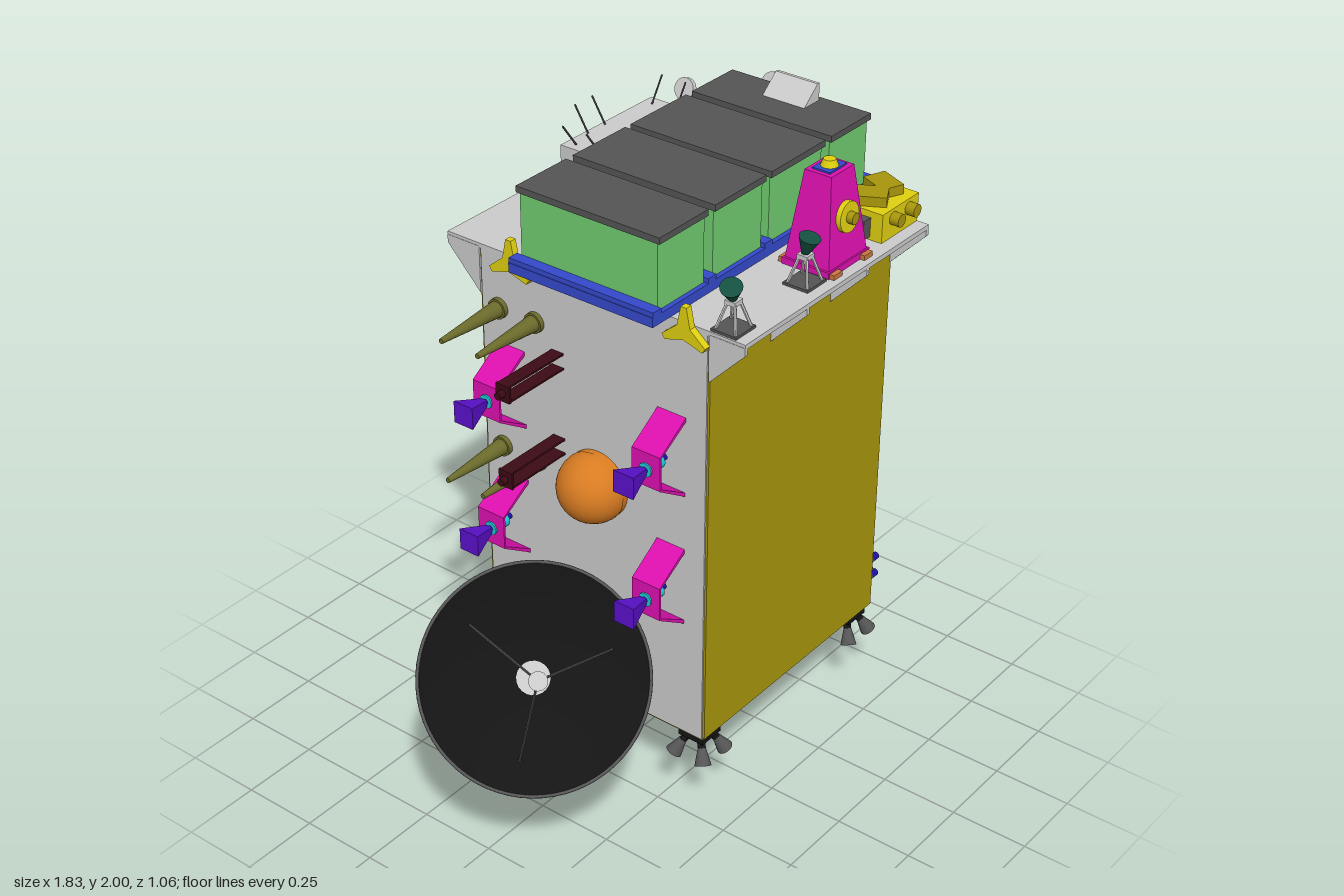
import * as THREE from 'three';

const V = (x, y, z) => new THREE.Vector3(x, y, z);
const mats = {};
const mat = (c) => (mats[c] ??= new THREE.MeshStandardMaterial({ color: c, side: THREE.DoubleSide }));
const GREY = 0xcccccc, GOLD = 0xa8960c, BLUE = 0x3449cc, GREEN = 0x70cc70, CHAR = 0x555555, BLACK = 0x141414,
  YELLOW = 0xe0d010, PINK = 0xdd10b0, OLIVE = 0x6b6b2c, MAROON = 0x3c0a14, ORANGE = 0xd97c22, COPPER = 0xcc7840,
  PURPLE = 0x5a10cc, VIOLET = 0x4f2f7c, CYAN = 0x20c8d8, TEAL = 0x145040, NAVY = 0x1c10a0;

export function createModel() {
  const root = new THREE.Group();
  const add = (name, geo, color, p = [0, 0, 0], parent = root) => {
    const m = new THREE.Mesh(geo, mat(color));
    m.name = name;
    m.position.set(...p);
    parent.add(m);
    return m;
  };
  // box given by its limits on each axis
  const box = (name, color, x0, x1, y0, y1, z0, z1, parent) =>
    add(name, new THREE.BoxGeometry(x1 - x0, y1 - y0, z1 - z0), color, [(x0 + x1) / 2, (y0 + y1) / 2, (z0 + z1) / 2], parent);
  // round or faceted rod from a to b, with a radius at each end
  const rod = (name, color, a, b, r0, r1 = r0, sides = 12, parent = root) => {
    const A = V(...a), d = V(...b).sub(A);
    const g = new THREE.CylinderGeometry(r1, r0, d.length(), sides);
    if (sides === 4) g.rotateY(Math.PI / 4);
    const m = add(name, sides < 8 ? g.toNonIndexed() : g, color, [0, 0, 0], parent);
    if (sides < 8) m.geometry.computeVertexNormals();
    m.position.copy(A).addScaledVector(d, 0.5);
    m.quaternion.setFromUnitVectors(V(0, 1, 0), d.normalize());
    return m;
  };
  const lathe = (pts, n = 32) => new THREE.LatheGeometry(pts.map((p) => new THREE.Vector2(...p)), n);
  const extrude = (pts, depth) => new THREE.ExtrudeGeometry(
    new THREE.Shape(pts.map((p) => new THREE.Vector2(...p))), { depth, bevelEnabled: false }).translate(0, 0, -depth / 2);
  // rectangular frustum standing on y = 0
  const frustum = (w0, d0, w1, d1, h) => {
    const g = new THREE.BoxGeometry(1, h, 1).translate(0, h / 2, 0).toNonIndexed(), p = g.attributes.position;
    for (let i = 0; i < p.count; i++) {
      const top = p.getY(i) > h / 2;
      p.setX(i, p.getX(i) * (top ? w1 : w0));
      p.setZ(i, p.getZ(i) * (top ? d1 : d0));
    }
    g.computeVertexNormals();
    return g;
  };

  // main body with foil panels, deck and gussets
  box('body', GREY, -0.24, 0.65, 0.295, 1.68, -0.405, 0.405);
  for (const s of [-1, 1]) {
    box('foilPanel', GOLD, -0.235, 0.645, 0.295, 1.675, s * 0.408 - 0.004, s * 0.408 + 0.004);
    for (const x of [-0.235, 0.05, 0.34, 0.645]) {
      const g = extrude([[0.41, 1.53], [0.53, 1.655], [0.53, 1.68], [0.41, 1.68]], 0.012).rotateY(-s * Math.PI / 2);
      add('deckGusset', g, GREY, [x, 0, 0]);
    }
  }
  box('bottomPanel', GOLD, -0.235, 0.645, 0.288, 0.296, -0.405, 0.405);
  box('deck', GREY, -0.24, 0.65, 1.675, 1.69, -0.53, 0.53);

  // blue tray and the row of green cases
  box('tray', BLUE, -0.32, 0.74, 1.69, 1.72, -0.23, 0.28);
  for (const [a, b] of [[-0.28, -0.075], [-0.035, 0.19], [0.225, 0.475], [0.515, 0.705]]) {
    box('case', GREEN, a, b, 1.72, 1.925, -0.215, 0.265);
    box('caseLid', CHAR, a - 0.005, b + 0.005, 1.925, 1.945, -0.225, 0.275);
  }
  for (const x of [-0.3, -0.055, 0.208, 0.495, 0.722]) box('trayRib', BLUE, x - 0.018, x + 0.018, 1.715, 1.735, -0.23, 0.28);

  // wedge sensor on the last case
  add('wedgeSensor', extrude([[0.615, 1.945], [0.69, 1.945], [0.69, 2], [0.68, 2]], 0.15), GREY, [0, 0, 0.03]);
  for (const z of [-0.01, 0.07]) rod('sensorEye', NAVY, [0.685, 1.975, z], [0.705, 1.975, z], 0.012);

  // yellow three-armed tray braces on both sides
  const star = [];
  for (let i = 0; i < 3; i++) {
    const a = Math.PI / 2 + i * Math.PI * 2 / 3, b = a + Math.PI / 3;
    star.push([0.08 * Math.cos(a - 0.12), 0.075 * Math.sin(a - 0.12)], [0.08 * Math.cos(a + 0.12), 0.075 * Math.sin(a + 0.12)]);
    star.push([0.026 * Math.cos(b), 0.026 * Math.sin(b)]);
  }
  for (const x of [-0.252, 0.662]) for (const z of [0.34, -0.28])
    add('trayBrace', extrude(star, 0.022).rotateY(Math.PI / 2), YELLOW, [x, 1.675, z]);

  // sensor horns with cyan lens and small secondary reflector
  for (const [x, y, z] of [[0.69, 1.83, -0.11], [0.62, 1.76, -0.385]]) {
    const g = new THREE.Group();
    g.name = 'lensSensor';
    g.position.set(x, y, z);
    root.add(g);
    const horn = lathe([[0, 0], [0.03, 0], [0.03, 0.05], [0.045, 0.065], [0.045, 0.09], [0.036, 0.09], [0.034, 0.08]]);
    add('horn', horn.rotateZ(-Math.PI / 2), GREY, [0, 0, 0], g);
    rod('lens', CYAN, [0.07, 0, 0], [0.083, 0, 0], 0.035, 0.035, 24, g);
    rod('reflectorArm', GREY, [0.04, 0.03, 0], [0.066, 0.085, 0], 0.006, 0.006, 8, g);
    rod('reflector', GREY, [0.06, 0.088, 0], [0.076, 0.082, 0], 0.035, 0.035, 24, g);
  }

  // electronics box with whip antennas on the back of the deck
  box('electronicsBox', GREY, 0.19, 0.62, 1.705, 1.82, -0.465, -0.305);
  for (const x of [0.2, 0.34, 0.48, 0.61]) for (const z of [-0.48, -0.29])
    rod('boxFoot', CHAR, [x, 1.69, z], [x, 1.715, z], 0.013);
  for (const x of [0.22, 0.58]) for (const z of [-0.43, -0.34])
    rod('whip', CHAR, [x, 1.82, z], [x + (x < 0.4 ? -0.06 : 0.05), 1.9, z], 0.003, 0.003, 6);
  for (const x of [0.3, 0.38]) rod('whip', CHAR, [x, 1.82, -0.45], [x, 1.9, -0.5], 0.003, 0.003, 6);

  // magenta instrument tower
  add('towerBase', new THREE.BoxGeometry(0.2, 0.02, 0.16), PINK, [0.295, 1.7, 0.415]);
  add('tower', frustum(0.185, 0.15, 0.11, 0.09, 0.265), PINK, [0.295, 1.71, 0.415]);
  box('towerCap', BLUE, 0.255, 0.335, 1.975, 1.98, 0.385, 0.445);
  rod('towerTop', YELLOW, [0.295, 1.975, 0.415], [0.295, 2, 0.415], 0.028, 0.018, 20);
  rod('towerDial', YELLOW, [0.295, 1.84, 0.45], [0.295, 1.843, 0.49], 0.046, 0.046, 24);
  rod('dialHub', GOLD, [0.295, 1.843, 0.485], [0.295, 1.843, 0.51], 0.018);
  for (const x of [0.22, 0.37]) for (const z of [0.335, 0.495]) box('towerFoot', COPPER, x - 0.02, x + 0.02, 1.69, 1.705, z - 0.015, z + 0.015);

  // yellow camera unit
  box('cameraUnit', YELLOW, 0.465, 0.65, 1.69, 1.78, 0.345, 0.49);
  for (const [x, z, a] of [[0.52, 0.41, 0.5], [0.6, 0.4, -0.4]]) {
    add('cameraHead', new THREE.BoxGeometry(0.075, 0.03, 0.1), GOLD, [x, 1.795, z]).rotation.y = a;
    rod('cameraBarrel', GOLD, [x, 1.75, 0.48], [x, 1.75, 0.52], 0.02, 0.02, 20);
  }
  box('cameraPlug', CHAR, 0.43, 0.465, 1.7, 1.76, 0.39, 0.45);

  // small deck antennas on four-legged stands
  for (const [x, tilt] of [[-0.19, -0.03], [0.14, 0.0]]) {
    box('standFoot', CHAR, x - 0.045, x + 0.045, 1.69, 1.698, 0.41, 0.495);
    for (const i of [-1, 1]) for (const j of [-1, 1])
      rod('standLeg', GREY, [x + i * 0.037, 1.69, 0.453 + j * 0.035], [x + i * 0.012, 1.775, 0.453 + j * 0.012], 0.005, 0.005, 6);
    box('standTop', GREY, x - 0.018, x + 0.018, 1.768, 1.782, 0.435, 0.47);
    rod('deckAntenna', TEAL, [x, 1.78, 0.45], [x + tilt, 1.835, 0.465], 0.01, 0.032, 20);
  }

  // tapered olive antennas on the right side
  for (const y of [1.505, 1.04]) for (const z of [-0.34, -0.205]) {
    rod('rodAntenna', OLIVE, [-0.25, y, z], [-0.49, y, z], 0.026, 0.008, 20);
    rod('rodAntennaBase', OLIVE, [-0.24, y, z], [-0.255, y, z], 0.032, 0.032, 20);
  }

  // open strap frames with a tip block
  for (const [s, y] of [[1, 1.41], [1, 0.86], [-1, 1.41], [-1, 1.125]]) {
    const x0 = s > 0 ? 0.65 : -0.24, x1 = s > 0 ? 0.885 : -0.475, lo = Math.min(x0, x1), hi = Math.max(x0, x1);
    for (const d of [-0.024, 0.024]) box('strap', MAROON, lo, hi, y + d - 0.003, y + d + 0.003, -0.147, -0.103);
    box('strapEnd', MAROON, x1 - 0.004, x1 + 0.004, y - 0.027, y + 0.027, -0.15, -0.1);
    rod('strapTip', MAROON, [x1, y, -0.125], [x1 + s * 0.026, y, -0.125], 0.012);
  }

  // bent magenta brackets carrying horn antennas
  for (const y of [1.26, 0.82]) for (const z of [0.285, -0.3]) {
    const path = [[-0.24, 0.13], [-0.355, 0.055], [-0.355, -0.055], [-0.24, -0.13]];
    const inner = path.map(([a, b]) => [a + 0.007, b * 0.93]).reverse();
    add('hornBracket', extrude([...path, ...inner], 0.1), PINK, [0, y, z]);
    rod('hornBody', CYAN, [-0.295, y, z], [-0.36, y, z], 0.022, 0.022, 16);
    rod('hornStem', NAVY, [-0.27, y, z], [-0.4, y, z], 0.01);
    rod('hornFlare', PURPLE, [-0.365, y, z], [-0.455, y, z], 0.015, 0.05, 4);
  }

  // orange dome
  add('dome', new THREE.SphereGeometry(0.11, 32, 16, 0, Math.PI * 2, 0, Math.PI / 2).rotateZ(Math.PI / 2), ORANGE, [-0.262, 1.05, 0.02]);
  rod('domeBase', ORANGE, [-0.24, 1.05, 0.02], [-0.263, 1.05, 0.02], 0.108, 0.108, 32);

  // large dish tilted outward, up and forward; its axis is local y, rim at y = 0
  const dish = new THREE.Group();
  dish.name = 'dish';
  dish.position.set(-0.645, 0.625, 0.11);
  dish.quaternion.setFromUnitVectors(V(0, 1, 0), V(-1, 1, 1).normalize());
  root.add(dish);
  const R = 0.335, depth = 0.08, bowl = [];
  for (let i = 0; i <= 12; i++) bowl.push([R * i / 12, depth * ((i / 12) ** 2 - 1)]);
  add('reflectorBowl', lathe(bowl, 64), BLACK, [0, 0, 0], dish);
  add('rim', new THREE.TorusGeometry(R, 0.005, 8, 64).rotateX(Math.PI / 2), CHAR, [0, 0, 0], dish);
  for (let i = 0; i < 3; i++) {
    const a = i * Math.PI * 2 / 3 + 0.5;
    rod('feedStrut', CHAR, [0.24 * Math.cos(a), -0.04, 0.24 * Math.sin(a)], [0, 0.17, 0], 0.004, 0.004, 6, dish);
  }
  rod('feed', GREY, [0, 0.15, 0], [0, 0.185, 0], 0.018, 0.028, 20, dish);
  rod('dishHub', GREY, [0, -0.11, 0], [0, -0.075, 0], 0.04, 0.05, 20, dish);

  // dish support arm
  rod('dishArm', GREY, [-0.59, 0.575, 0.06], [-0.295, 0.585, 0.12], 0.014);
  rod('armPost', GREY, [-0.298, 0.415, 0.12], [-0.298, 0.61, 0.12], 0.018);
  for (const y of [0.44, 0.51]) {
    rod('armHinge', GREY, [-0.24, y, 0.12], [-0.3, y, 0.12], 0.012);
    rod('hingeCollar', GREY, [-0.298, y - 0.015, 0.12], [-0.298, y + 0.015, 0.12], 0.025);
  }

  // equipment on the left side
  add('flaredBox', frustum(0.11, 0.085, 0.09, 0.07, 0.035).rotateX(Math.PI / 2).rotateY(Math.PI / 2), VIOLET, [0.65, 1.2, 0.2]);
  add('flaredBoxFace', frustum(0.09, 0.07, 0.12, 0.09, 0.035).rotateX(Math.PI / 2).rotateY(Math.PI / 2), VIOLET, [0.685, 1.2, 0.2]);
  box('copperBox', COPPER, 0.65, 0.755, 0.565, 0.745, -0.355, -0.2);
  box('copperBase', COPPER, 0.65, 0.662, 0.55, 0.765, -0.37, -0.19);
  box('copperLid', COPPER, 0.66, 0.775, 0.735, 0.75, -0.355, -0.27);
  for (let i = 0; i < 5; i++) for (const z of [-0.363, -0.197])
    rod('copperBolt', COPPER, [0.66, 0.57 + i * 0.045, z], [0.672, 0.57 + i * 0.045, z], 0.006, 0.006, 8);

  // yellow pipes with dark blue end fittings
  for (const [y, z0, z1, end] of [[0.355, -0.37, 0.37, 1], [0.385, -0.37, 0.37, 0], [0.42, -0.37, 0.37, 1], [0.455, -0.37, -0.1, 2]]) {
    rod('pipe', YELLOW, [0.68, y, z0], [0.68, y, z1], 0.01);
    const ends = end === 1 ? [z1] : end === 0 ? [z0] : [z0, z1];
    for (const z of [z0, z1]) rod('pipeStub', CHAR, [0.65, y, z], [0.7, y, z], 0.012);
    for (const z of ends) rod('pipeFitting', NAVY, [0.7, y, z], [0.73, y, z], 0.012);
  }

  // main engine nozzle
  add('mainEngine', lathe([[0.028, 0.295], [0.028, 0.235], [0.022, 0.225], [0.03, 0.205], [0.05, 0.13], [0.066, 0.07],
    [0.073, 0.06], [0.073, 0], [0.066, 0], [0.055, 0.1], [0, 0.2]]), GREY, [0.205, 0, 0]);

  // four corner clusters of tilted thrusters
  for (const x of [-0.175, 0.595]) for (const z of [-0.345, 0.35]) {
    box('thrusterMount', BLACK, x - 0.045, x + 0.045, 0.255, 0.275, z - 0.045, z + 0.045);
    for (let i = 0; i < 4; i++) {
      const a = i * Math.PI / 2 + Math.PI / 4, c = Math.cos(a), s = Math.sin(a);
      const at = (r, y) => [x + c * r, y, z + s * r];
      rod('thrusterStrut', NAVY, at(0.06, 0.29), at(0.035, 0.255), 0.004, 0.004, 6);
      rod('thrusterThroat', BLACK, at(0.02, 0.27), at(0.052, 0.23), 0.014, 0.012);
      rod('thrusterNozzle', CHAR, at(0.05, 0.235), at(0.078, 0.19), 0.012, 0.026, 16);
    }
  }
  return root;
}
